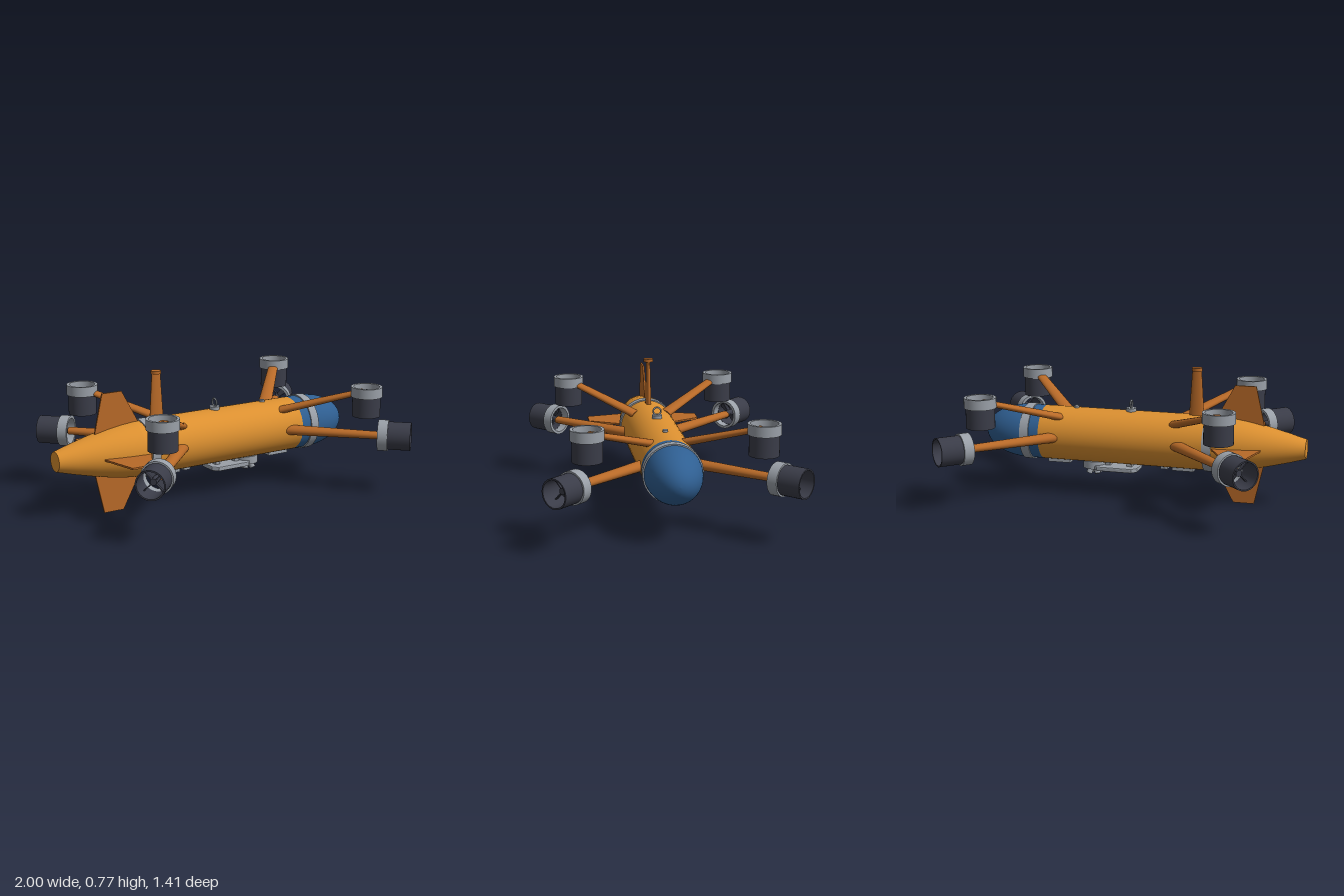
import * as THREE from 'three';

const mat = (color, side = THREE.FrontSide) => new THREE.MeshStandardMaterial({ color, side });
const HULL = mat(0xdc9030), ORANGE = mat(0xb86a28), BLUE = mat(0x2f5f92);
const GREY = mat(0x9aa0a8), DARK = mat(0x3a3c48, THREE.DoubleSide);
const AXIS_Y = 0.342, R = 0.157, MID_X = 0.079;
const V = (x, y, z) => new THREE.Vector3(x, y, z);

function add(parent, name, geometry, material, x = 0, y = 0, z = 0) {
  const mesh = new THREE.Mesh(geometry, material);
  mesh.name = name;
  mesh.position.set(x, y, z);
  parent.add(mesh);
  return mesh;
}

// Surface of revolution around the hull axis, from [x, radius] pairs
function turned(parent, name, profile, material) {
  const geo = new THREE.LatheGeometry(profile.map(([x, r]) => new THREE.Vector2(r, x)), 48);
  geo.rotateZ(-Math.PI / 2);
  return add(parent, name, geo, material, 0, AXIS_Y, 0);
}

// Square-edged tube along y, starting at y0
function tube(parent, name, inner, outer, y0, y1, material) {
  const pts = [[inner, y0], [outer, y0], [outer, y0], [outer, y1], [outer, y1], [inner, y1], [inner, y1], [inner, y0]];
  return add(parent, name, new THREE.LatheGeometry(pts.map(p => new THREE.Vector2(...p)), 32), material);
}

// Tapered arm with an elliptical section, flat side horizontal
function arm(parent, name, a, b, chord, thick) {
  const dir = b.clone().sub(a), len = dir.length();
  dir.normalize();
  const side = V(0, 1, 0).cross(dir).normalize();
  const geo = new THREE.CylinderGeometry(0.36, 0.5, len, 20);
  geo.scale(thick, 1, chord);
  const mesh = add(parent, name, geo, ORANGE);
  mesh.quaternion.setFromRotationMatrix(
    new THREE.Matrix4().makeBasis(dir.clone().cross(side), dir, side));
  mesh.position.copy(a).add(b).multiplyScalar(0.5);
}

// Ducted thruster: intake collar at y = 0, dark duct running along +y
function thruster(name, length) {
  const g = new THREE.Group();
  g.name = name;
  tube(g, 'collar', 0.074, 0.09, 0, 0.058, GREY);
  tube(g, 'duct', 0.073, 0.081, 0.05, length, DARK);
  add(g, 'hub', new THREE.CylinderGeometry(0.018, 0.018, 0.09, 16), DARK, 0, 0.08, 0);
  add(g, 'hubCap', new THREE.SphereGeometry(0.018, 16, 10), DARK, 0, 0.035, 0);
  for (let i = 0; i < 2; i++) {
    const s = i ? -1 : 1;
    const shape = new THREE.Shape([[0, -0.01], [0.065, -0.022], [0.07, 0], [0.065, 0.022], [0, 0.01]]
      .map(p => new THREE.Vector2(...p)));
    const blade = add(g, 'blade', new THREE.ExtrudeGeometry(shape, { depth: 0.005, bevelEnabled: false }), DARK, 0, 0.06, 0);
    blade.rotation.set(Math.PI / 2 + s * 0.5, 0, 0);
    const spin = new THREE.Group();
    spin.name = 'propeller';
    spin.rotation.y = s * Math.PI / 2;
    spin.add(blade);
    g.add(spin);
  }
  add(g, 'strut', new THREE.BoxGeometry(0.148, 0.02, 0.006), DARK, 0, 0.11, 0);
  add(g, 'strut', new THREE.BoxGeometry(0.006, 0.02, 0.148), DARK, 0, 0.11, 0);
  return g;
}

export function createModel() {
  const model = new THREE.Group();
  model.name = 'underwaterVehicle';

  // Hull, tail cone and nose
  turned(model, 'hull', [[-0.52, R], [0.535, R]], HULL);
  turned(model, 'tailCone', [[-1, 0], [-1, 0.056], [-1, 0.056], [-0.9, 0.084], [-0.78, 0.114],
    [-0.68, 0.136], [-0.59, 0.15], [-0.52, R]], HULL);
  const nose = [[0.535, R]];
  for (let i = 0; i <= 16; i++) {
    const t = i / 16 * Math.PI / 2;
    nose.push([0.635 + 0.265 * Math.sin(t), i === 16 ? 0 : R * Math.cos(t)]);
  }
  turned(model, 'nose', nose, BLUE);
  for (const x of [-0.46, 0.62]) {
    turned(model, 'band', [[x - 0.026, 0.15], [x - 0.026, 0.164], [x - 0.026, 0.164],
      [x + 0.026, 0.164], [x + 0.026, 0.164], [x + 0.026, 0.15]], GREY);
  }

  // Four tail fins
  const fin = new THREE.Shape([[-0.77, 0.05], [-0.76, 0.12], [-0.71, 0.34], [-0.59, 0.34], [-0.49, 0.155], [-0.47, 0.05]]
    .map(p => new THREE.Vector2(...p)));
  const finGeo = new THREE.ExtrudeGeometry(fin, { depth: 0.01, bevelEnabled: false });
  finGeo.translate(0, 0, -0.005);
  for (let i = 0; i < 4; i++) {
    add(model, 'tailFin', finGeo, ORANGE, 0, AXIS_Y, 0).rotation.x = i * Math.PI / 2;
  }

  // Arms and thrusters at the four corners
  for (const sx of [-1, 1]) for (const sz of [-1, 1]) {
    const at = (x, y, z) => V(MID_X + sx * x, y, sz * z);
    arm(model, 'upperArm', at(0.345, 0.455, 0.085), at(0.662, 0.598, 0.443), 0.08, 0.045);
    arm(model, 'lowerArm', at(0.345, AXIS_Y, 0.11), at(0.735, 0.345, 0.53), 0.08, 0.06);
    const vertical = thruster('verticalThruster', 0.172);
    vertical.position.copy(at(0.676, 0.63, 0.463));
    vertical.rotation.x = Math.PI;
    const horizontal = thruster('horizontalThruster', 0.187);
    horizontal.position.copy(at(0.729, 0.346, 0.516));
    horizontal.quaternion.setFromUnitVectors(V(0, 1, 0), V(sx, 0, sz).normalize());
    model.add(vertical, horizontal);
  }

  // Antenna mast
  const mastGeo = new THREE.CylinderGeometry(0.027, 0.045, 0.29, 24);
  mastGeo.scale(1, 1, 0.4);
  add(model, 'mast', mastGeo, ORANGE, -0.37, 0.615, 0);
  add(model, 'mastCap', new THREE.CylinderGeometry(0.029, 0.029, 0.017, 24), ORANGE, -0.37, 0.762, 0);

  // Lifting eye and top plug
  add(model, 'eyeBase', new THREE.CylinderGeometry(0.03, 0.03, 0.03, 24), GREY, 0.015, 0.501, 0);
  add(model, 'liftingEye', new THREE.TorusGeometry(0.022, 0.005, 10, 28), GREY, 0.015, 0.538, 0).rotation.y = Math.PI / 2;
  add(model, 'topPlug', new THREE.CylinderGeometry(0.016, 0.016, 0.02, 20), GREY, 0.345, 0.5, 0);

  // Flat sonar pod under the belly
  const pod = new THREE.Shape([[-0.125, -0.05], [-0.1, -0.076], [0.1, -0.076], [0.125, -0.05],
    [0.125, 0.05], [0.1, 0.076], [-0.1, 0.076], [-0.125, 0.05]].map(p => new THREE.Vector2(...p)));
  const podGeo = new THREE.ExtrudeGeometry(pod, { depth: 0.014, bevelSize: 0.007, bevelThickness: 0.006, bevelSegments: 2 });
  podGeo.rotateX(Math.PI / 2);
  add(model, 'sonarPod', podGeo, GREY, 0.098, 0.166, 0);
  for (const x of [0.02, 0.15]) add(model, 'podMount', new THREE.BoxGeometry(0.03, 0.05, 0.06), GREY, x, 0.184, 0);

  // Round velocity sensor with four splayed heads
  add(model, 'sensorDisc', new THREE.CylinderGeometry(0.066, 0.066, 0.045, 32), GREY, 0.238, 0.172, 0);
  for (let i = 0; i < 4; i++) {
    const a = Math.PI / 4 + i * Math.PI / 2, out = V(Math.cos(a), 0, Math.sin(a));
    const head = add(model, 'sensorHead', new THREE.CylinderGeometry(0.017, 0.017, 0.045, 18), GREY,
      0.238 + out.x * 0.028, 0.137, out.z * 0.028);
    head.quaternion.setFromUnitVectors(V(0, -1, 0), out.multiplyScalar(0.45).add(V(0, -1, 0)).normalize());
  }

  // Belly plates
  for (const [x, length, low] of [[-0.297, 0.125, 0.168], [-0.187, 0.043, 0.172], [0.45, 0.135, 0.167]]) {
    add(model, 'bellyPlate', new THREE.BoxGeometry(length, 0.03, 0.05), GREY, x, low + 0.015, 0);
  }
  return model;
}
